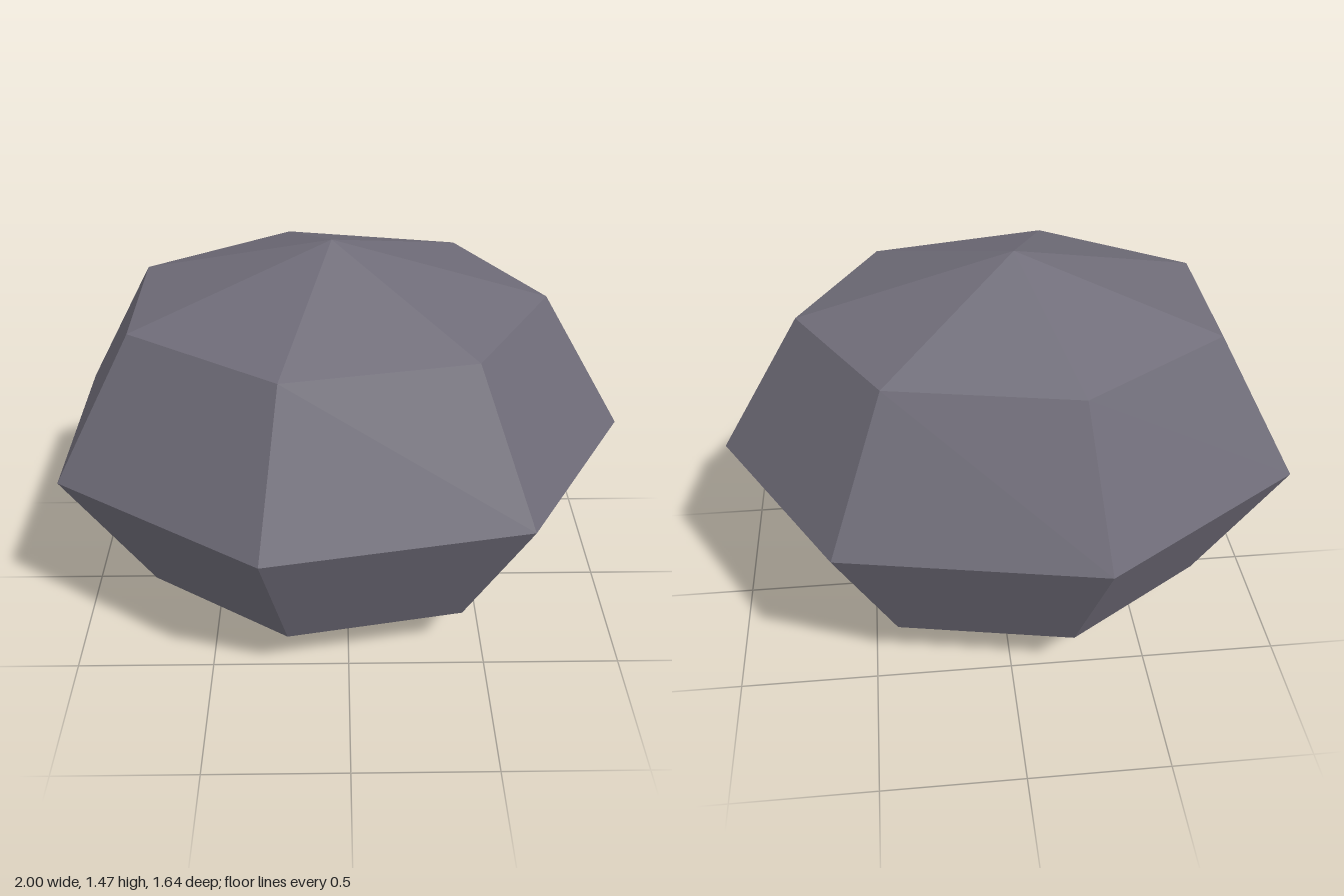
import * as THREE from 'three';

export function createModel() {
  const group = new THREE.Group();
  group.name = 'boulder';
  const stone = new THREE.MeshStandardMaterial({ color: 0x6f6c78, flatShading: true });
  stone.name = 'grey stone';

  // Seven-sided low-poly ball with one corner toward +x, flattened to a boulder
  const radius = 1.052;
  const geometry = new THREE.SphereGeometry(radius, 7, 4, Math.PI)
    .scale(1, 0.7, 0.8)
    .translate(1 - radius, radius * 0.7, 0)
    .toNonIndexed();
  geometry.computeVertexNormals();

  const rock = new THREE.Mesh(geometry, stone);
  rock.name = 'rock';
  group.add(rock);
  return group;
}
